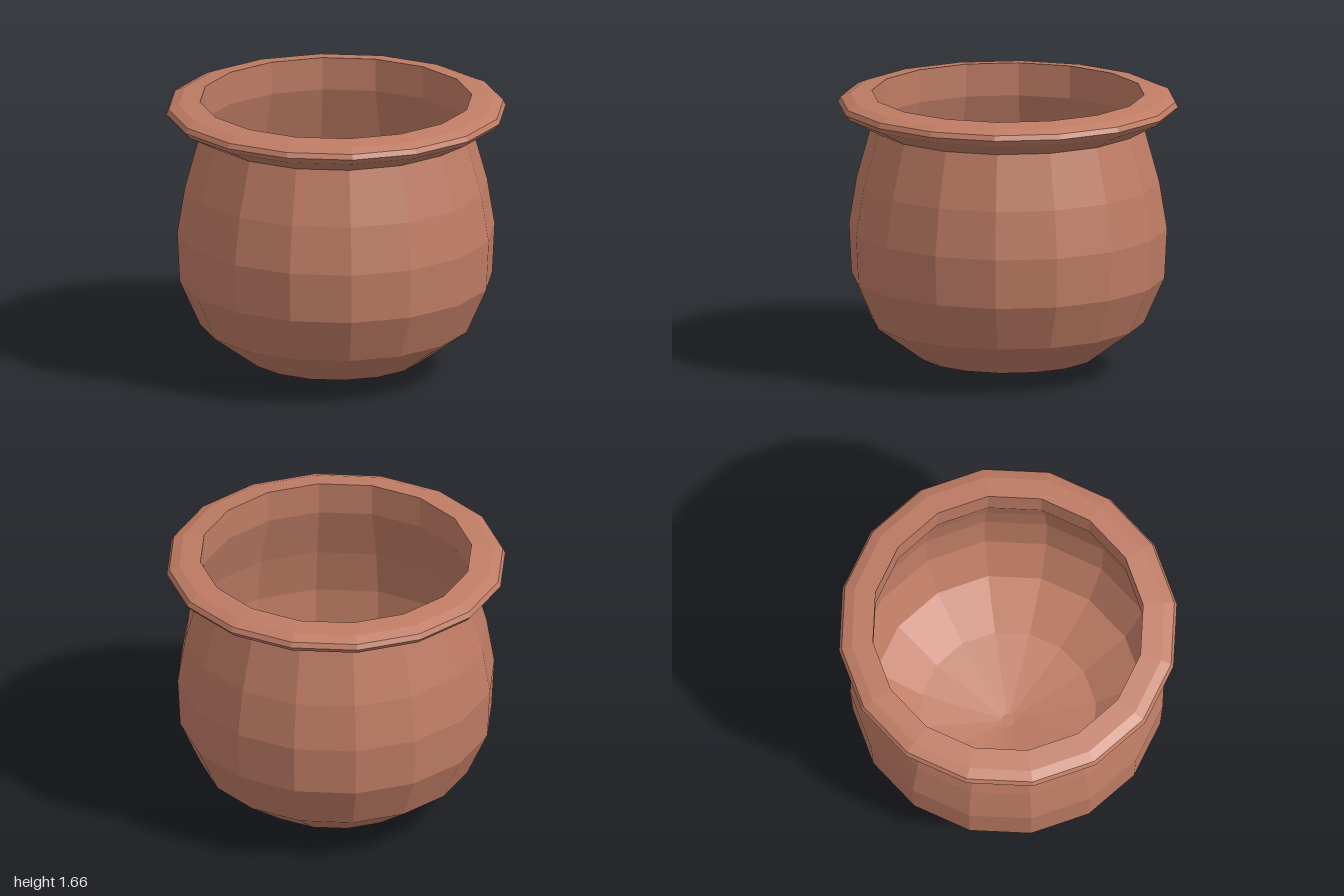
import * as THREE from 'three';

export function createModel() {
  const terracotta = new THREE.MeshStandardMaterial({
    color: 0xbf7c65, flatShading: true, side: THREE.DoubleSide,
  });
  terracotta.name = 'terracotta';

  const SIDES = 16;
  const pot = new THREE.Group();
  pot.name = 'pot';

  // Turns a [radius, height] profile into a faceted ring
  function turned(name, profile) {
    const points = profile.map(([r, y]) => new THREE.Vector2(r, y));
    const mesh = new THREE.Mesh(new THREE.LatheGeometry(points, SIDES), terracotta);
    mesh.name = name;
    pot.add(mesh);
  }

  // Thin open bowl with a shallow pointed base
  turned('body', [
    [0, 0], [0.04, 0], [0.52, 0.09], [0.8, 0.295], [0.92, 0.565],
    [0.935, 0.86], [0.89, 1.14], [0.8, 1.465],
  ]);

  // Flared lip: underside, rounded edge, top, then straight inner wall
  turned('rim', [
    [0.8, 1.465], [0.97, 1.555], [1, 1.59], [0.985, 1.62],
    [0.925, 1.645], [0.8, 1.66], [0.8, 1.465],
  ]);

  return pot;
}
